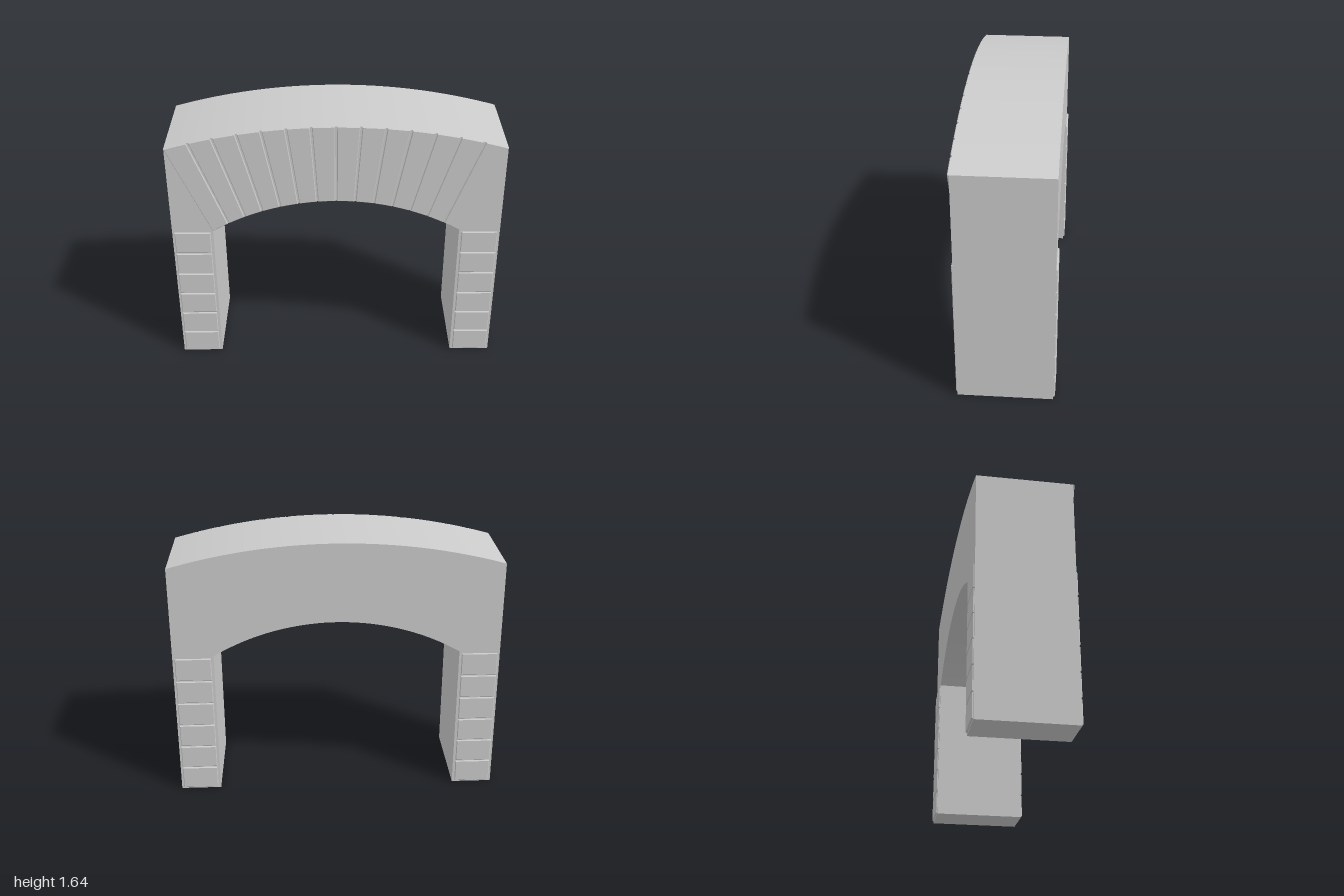
import * as THREE from 'three';
import { toCreasedNormals } from 'three/addons/utils/BufferGeometryUtils.js';

const HALF_DEPTH = 0.285, RELIEF = 0.01, BEVEL = 0.004;

// Circular arc given by half width, end height and crown height; t runs -1..1
function arc(halfWidth, endY, crownY) {
  const rise = crownY - endY;
  const r = (halfWidth * halfWidth + rise * rise) / (2 * rise);
  const a = Math.asin(halfWidth / r);
  return t => new THREE.Vector2(r * Math.sin(a * t), crownY - r + r * Math.cos(a * t));
}
const outer = arc(1, 1.5, 1.64);
const inner = arc(0.75, 0.935, 1.145);

function sample(curve, from, to, n) {
  return Array.from({ length: n + 1 }, (_, i) => curve(from + (to - from) * i / n));
}

export function createModel() {
  const group = new THREE.Group();
  const material = new THREE.MeshStandardMaterial({ color: 0xcccccc });

  function add(parent, geometry, name) {
    const mesh = new THREE.Mesh(geometry, material);
    mesh.name = name;
    parent.add(mesh);
    return mesh;
  }

  // Thin facing stone with chamfered edges, its back sunk into the wall
  function facingStone(points) {
    const sunk = 0.008;
    const geometry = new THREE.ExtrudeGeometry(new THREE.Shape(points), {
      depth: RELIEF + sunk - 2 * BEVEL,
      bevelSize: BEVEL, bevelThickness: BEVEL, bevelOffset: -BEVEL, bevelSegments: 1,
    });
    return geometry.translate(0, 0, HALF_DEPTH - sunk + BEVEL);
  }

  // Solid arch body with two piers
  const outline = [
    new THREE.Vector2(-1, 0), new THREE.Vector2(-0.75, 0),
    ...sample(inner, -1, 1, 40),
    new THREE.Vector2(0.75, 0), new THREE.Vector2(1, 0),
    ...sample(outer, 1, -1, 40),
  ];
  const body = new THREE.ExtrudeGeometry(new THREE.Shape(outline), {
    depth: 2 * HALF_DEPTH, bevelEnabled: false,
  }).translate(0, 0, -HALF_DEPTH);
  add(group, toCreasedNormals(body, 0.4), 'archBody');

  // Fan of wedge stones on the front only
  const wedges = new THREE.Group();
  wedges.name = 'archStones';
  group.add(wedges);
  const count = 14, gap = 0.006;
  for (let i = 0; i < count; i++) {
    const a = -1 + 2 * i / count + (i > 0 ? gap : 0);
    const b = -1 + 2 * (i + 1) / count - (i < count - 1 ? gap : 0);
    const points = [...sample(inner, a, b, 3), ...sample(outer, b, a, 3)];
    add(wedges, facingStone(points), 'archStone');
  }

  // Stacked blocks on the front and back of both piers
  const w = 0.11, h = 0.0725;
  const block = facingStone([
    new THREE.Vector2(-w, -h), new THREE.Vector2(w, -h),
    new THREE.Vector2(w, h), new THREE.Vector2(-w, h),
  ]);
  for (const side of [-1, 1]) {
    const pier = new THREE.Group();
    pier.name = side > 0 ? 'leftPierStones' : 'rightPierStones';
    group.add(pier);
    for (const turn of [0, Math.PI]) {
      for (let row = 0; row < 6; row++) {
        const stone = add(pier, block, 'pierStone');
        stone.position.set(side * 0.876, 0.083 + row * 0.153, 0);
        stone.rotation.y = turn;
      }
    }
  }
  return group;
}
